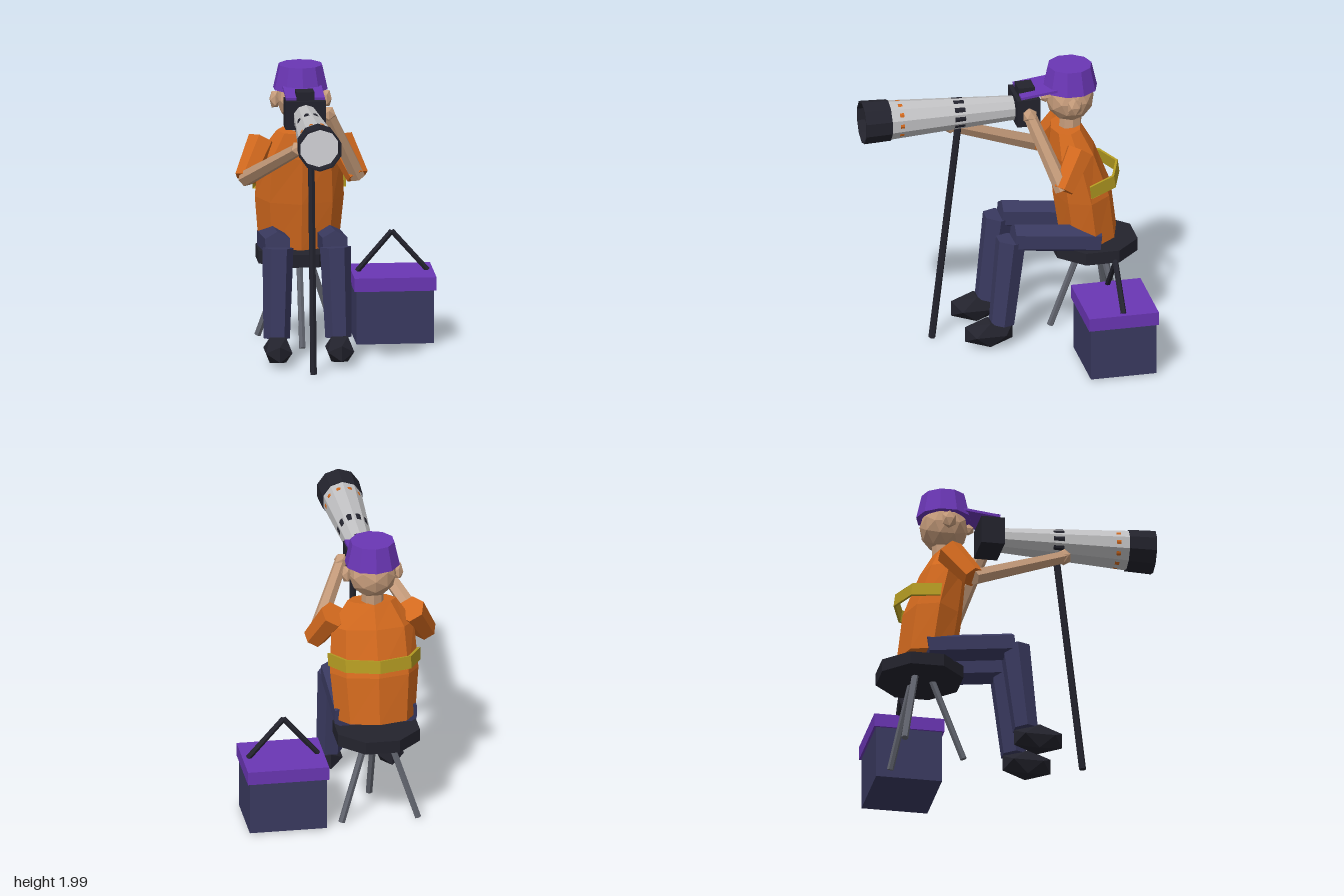
import * as THREE from 'three';

const mat = (name, color, extra = {}) =>
  Object.assign(new THREE.MeshStandardMaterial({ color, flatShading: true, ...extra }), { name });
const M = {
  orange: mat('orange shirt', 0xd2691e),
  navy: mat('navy cloth', 0x3a3a60),
  black: mat('black', 0x23232d, { side: THREE.DoubleSide }),
  purple: mat('purple', 0x6a36b4),
  skin: mat('skin', 0xc69c7b),
  silver: mat('silver', 0xc2c2c4),
  steel: mat('steel', 0x62656f),
  yellow: mat('yellow strap', 0xb59c22, { side: THREE.DoubleSide }),
  glass: mat('lens glass', 0xd4d4d8),
};
const CX = -0.25; // centre line of the sitting figure

export function createModel() {
  const root = new THREE.Group();
  root.name = 'photographer';

  const add = (name, geo, material, x = 0, y = 0, z = 0) => {
    const m = new THREE.Mesh(geo, material);
    m.name = name;
    m.position.set(x, y, z);
    root.add(m);
    return m;
  };
  const box = (name, material, w, h, d, x, y, z) =>
    add(name, new THREE.BoxGeometry(w, h, d), material, x, y, z);
  // tapered prism running from point a to point b
  const bar = (name, material, a, b, ra, rb, sides = 6, open = false, roll = 0) => {
    const A = new THREE.Vector3(...a), B = new THREE.Vector3(...b);
    const dir = B.clone().sub(A);
    const geo = new THREE.CylinderGeometry(rb, ra, dir.length(), sides, 1, open);
    geo.rotateY(roll);
    const m = add(name, geo, material);
    m.position.copy(A).add(B).multiplyScalar(0.5);
    m.quaternion.setFromUnitVectors(new THREE.Vector3(0, 1, 0), dir.normalize());
    return m;
  };
  const blob = (name, material, x, y, z, rx, ry, rz, detail = 0) => {
    const m = add(name, new THREE.IcosahedronGeometry(1, detail), material, x, y, z);
    m.scale.set(rx, ry, rz);
    return m;
  };

  // ---- stool ----
  const seat = new THREE.CylinderGeometry(0.31, 0.31, 0.09, 8);
  seat.rotateY(Math.PI / 8);
  add('stoolSeat', seat, M.black, CX, 0.625, -0.68);
  for (let i = 0; i < 3; i++) {
    const a = i * Math.PI * 2 / 3, s = Math.sin(a), c = Math.cos(a);
    bar('stoolLeg', M.steel, [CX + 0.31 * s, 0.015, -0.68 + 0.31 * c],
      [CX + 0.09 * s, 0.59, -0.68 + 0.09 * c], 0.024, 0.024);
  }

  // ---- torso: eight-sided rings [y, zCentre, rx, rz], leaning forward ----
  const rings = [
    [0.715, -0.64, 0.28, 0.2], [1.05, -0.595, 0.31, 0.205],
    [1.37, -0.52, 0.29, 0.16], [1.54, -0.48, 0.17, 0.105],
  ];
  const N = 8, pos = [], idx = [];
  rings.forEach(([y, zc, rx, rz]) => {
    for (let i = 0; i < N; i++) {
      const a = i / N * Math.PI * 2, dz = Math.cos(a) * rz;
      pos.push(CX + Math.sin(a) * rx, y - dz * 0.12, zc + dz);
    }
  });
  for (let r = 0; r < rings.length - 1; r++) {
    for (let i = 0; i < N; i++) {
      const j = (i + 1) % N, a = r * N + i, b = r * N + j;
      idx.push(a, b, b + N, a, b + N, a + N);
    }
  }
  const top = (rings.length - 1) * N;
  for (let i = 1; i < N - 1; i++) idx.push(0, i + 1, i, top, top + i, top + i + 1);
  const torso = new THREE.BufferGeometry();
  torso.setAttribute('position', new THREE.Float32BufferAttribute(pos, 3));
  torso.setIndex(idx);
  const torsoFlat = torso.toNonIndexed();
  torsoFlat.computeVertexNormals();
  add('torso', torsoFlat, M.orange);

  // strap around the back half of the torso
  for (const r of [0.325, 0.305]) {
    const strapGeo = new THREE.CylinderGeometry(r, r, 0.09, 4, 1, true, Math.PI / 2, Math.PI);
    strapGeo.scale(1, 1, 0.84);
    add('backStrap', strapGeo, M.yellow, CX, 1.15, -0.587).rotation.x = 0.13;
  }
  const rim = new THREE.RingGeometry(0.305, 0.325, 4, 1, 0, Math.PI);
  rim.rotateX(-Math.PI / 2);
  rim.scale(1, 1, 0.84);
  for (const h of [-0.045, 0.045]) {
    add('strapRim', rim, M.yellow, CX, 1.15 + h, -0.587 + h * 0.13).rotation.x = 0.13;
  }

  // ---- legs and shoes ----
  for (const s of [1, -1]) {
    bar('thigh', M.navy, [CX + s * 0.2, 0.74, -0.67], [CX + s * 0.2, 0.81, -0.06], 0.1, 0.1);
    bar('shin', M.navy, [CX + s * 0.215, 0.175, 0.025], [CX + s * 0.2, 0.8, -0.045],
      0.092, 0.108, 6, false, Math.PI / 6);
    blob('shoe', M.black, CX + s * 0.215, 0.11, 0.115, 0.108, 0.105, 0.2);
  }

  // ---- arms ----
  const arm = (shoulder, elbow, hand) => {
    bar('sleeve', M.orange, shoulder, elbow, 0.1, 0.08);
    bar('forearm', M.skin, elbow, hand, 0.058, 0.046);
    blob('hand', M.skin, ...hand, 0.055, 0.058, 0.055);
  };
  arm([-0.52, 1.46, -0.52], [-0.645, 1.225, -0.375], [-0.345, 1.575, 0.32]);
  arm([0.02, 1.46, -0.52], [0.135, 1.225, -0.375], [-0.085, 1.71, -0.19]);

  // ---- head and cap ----
  bar('neck', M.skin, [CX, 1.48, -0.51], [CX, 1.66, -0.52], 0.08, 0.075, 8);
  blob('head', M.skin, CX, 1.755, -0.51, 0.17, 0.17, 0.17, 1);
  for (const s of [1, -1]) blob('ear', M.skin, CX + s * 0.18, 1.755, -0.505, 0.04, 0.068, 0.055);
  blob('nose', M.skin, CX, 1.77, -0.335, 0.035, 0.04, 0.04);
  add('cap', new THREE.CylinderGeometry(0.155, 0.194, 0.17, 10), M.purple, CX, 1.915, -0.51);
  box('capBrim', M.purple, 0.27, 0.018, 0.26, CX, 1.848, -0.265).rotation.x = 0.12;

  // ---- camera and long lens ----
  const Y = 1.71;
  box('cameraBody', M.black, 0.28, 0.2, 0.165, CX, 1.72, -0.188);
  box('viewfinder', M.black, 0.125, 0.07, 0.115, CX, 1.845, -0.19);
  const lens = (name, material, z0, z1, r0, r1, open = false, roll = 0) =>
    bar(name, material, [CX, Y, z0], [CX, Y, z1], r0, r1, 10, open, roll);
  lens('lensBarrel', M.silver, -0.12, 0.8, 0.086, 0.141);
  // rings are turned half a side so only their corners show through the barrel
  lens('gripRing', M.black, 0.25, 0.325, 0.108, 0.113, false, Math.PI / 10);
  lens('accentRing', M.orange, 0.69, 0.72, 0.1325, 0.1345, false, Math.PI / 10);
  lens('lensHood', M.black, 0.78, 0.968, 0.147, 0.154, true);
  lens('hoodInside', M.black, 0.78, 0.968, 0.137, 0.143, true);
  for (const [z, r0, r1] of [[0.78, 0.136, 0.147], [0.968, 0.143, 0.154]]) {
    add('hoodRim', new THREE.RingGeometry(r0, r1, 10, 1, Math.PI / 2), M.black, CX, Y, z);
  }
  add('frontGlass', new THREE.CircleGeometry(0.142, 10, Math.PI / 2), M.glass, CX, Y, 0.88);
  bar('monopod', M.black, [CX, 0.01, 0.47], [CX, 1.6, 0.285], 0.025, 0.025);

  // ---- cool box ----
  box('coolBox', M.navy, 0.54, 0.375, 0.465, 0.405, 0.2025, -0.68);
  box('coolBoxLid', M.purple, 0.57, 0.095, 0.495, 0.405, 0.4375, -0.68);
  for (const s of [1, -1]) {
    bar('boxHandle', M.black, [0.405 + s * 0.245, 0.485, -0.685], [0.402, 0.765, -0.685], 0.02, 0.02);
  }
  return root;
}
